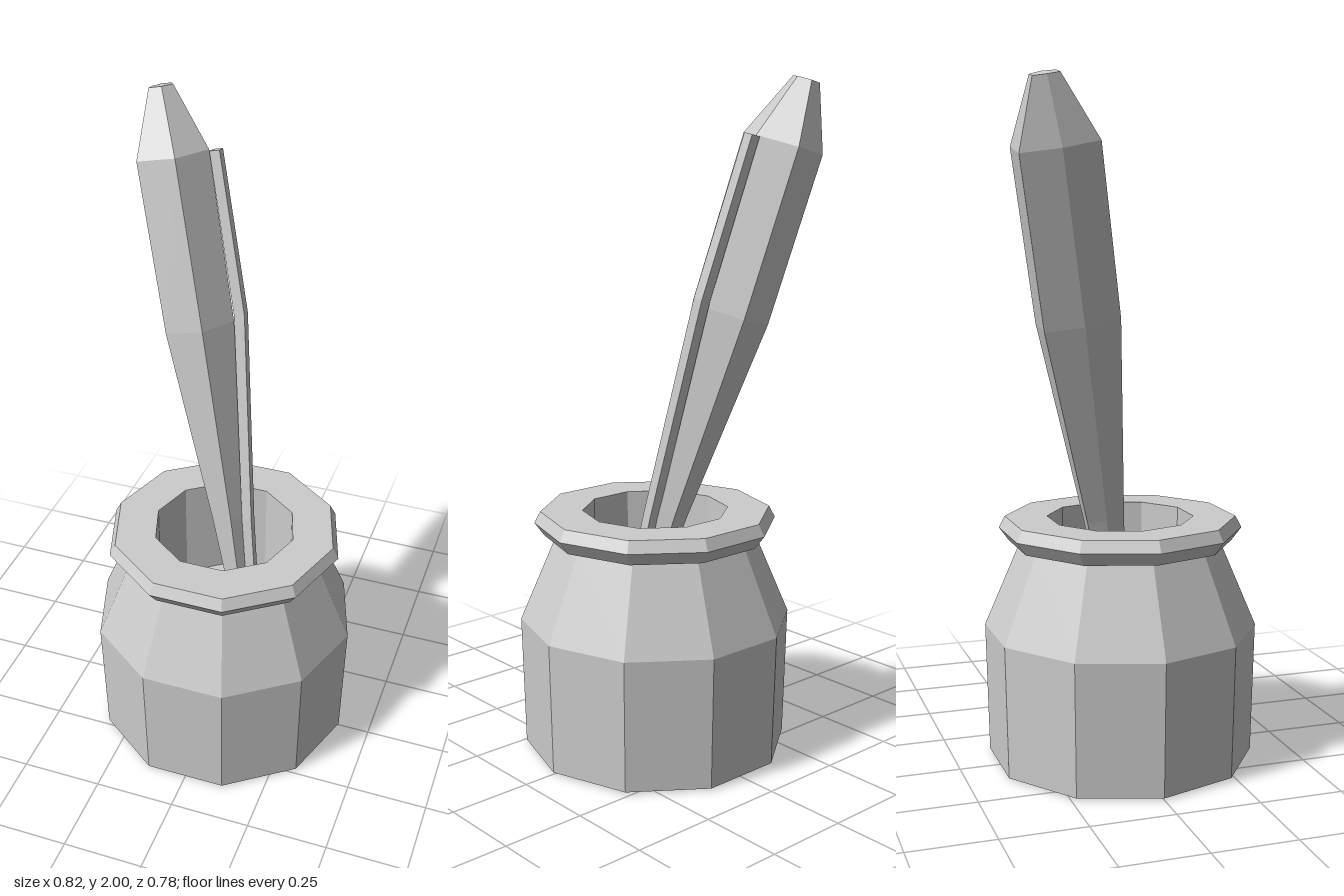
import * as THREE from 'three';

const material = new THREE.MeshStandardMaterial({ color: 0xcccccc, flatShading: true });

// Joins scaled copies of an outline along tilted rings [x, y, z, size], bottom to top, with end caps
function loft(name, outline, rings) {
  const n = outline.length;
  const pos = [];
  const index = [];
  for (const [x, y, z, s] of rings) {
    for (const [u, v] of outline) pos.push(x + u * s, y + (0.22 * u + 0.19 * v) * s, z + v * s);
  }
  for (let r = 0; r < rings.length - 1; r++) {
    for (let i = 0; i < n; i++) {
      const a = r * n + i, b = r * n + (i + 1) % n;
      index.push(a, b, b + n, a, b + n, a + n);
    }
  }
  const top = (rings.length - 1) * n;
  for (let i = 1; i < n - 1; i++) {
    index.push(top, top + i, top + i + 1);
    index.push(0, i + 1, i);
  }
  const geometry = new THREE.BufferGeometry();
  geometry.setAttribute('position', new THREE.Float32BufferAttribute(pos, 3));
  geometry.setIndex(index);
  const flat = geometry.toNonIndexed();
  flat.computeVertexNormals();
  const mesh = new THREE.Mesh(flat, material);
  mesh.name = name;
  return mesh;
}

export function createModel() {
  const group = new THREE.Group();
  group.name = 'inkwellWithQuill';

  // Ten-sided pot: base, belly, shoulder, flared rim, well and well floor
  const profile = [
    [0, 0.005], [0.4, 0.005], [0.41, 0.4], [0.3, 0.66], [0.335, 0.66],
    [0.365, 0.7], [0.347, 0.735], [0.22, 0.735], [0.22, 0.4], [0, 0.4],
  ].map(([r, y]) => new THREE.Vector2(r, y));
  const pot = new THREE.Mesh(new THREE.LatheGeometry(profile, 10, Math.PI / 10), material);
  pot.name = 'inkPot';
  group.add(pot);

  // Base pad just under the pot
  const pad = new THREE.Mesh(new THREE.CylinderGeometry(0.22, 0.22, 0.006, 10), material);
  pad.rotation.y = Math.PI / 10;
  pad.position.y = 0.003;
  pad.name = 'basePad';
  group.add(pad);

  // Leaning six-sided feather
  const quill = new THREE.Group();
  quill.name = 'quill';
  const vane = [[-0.6, 1], [0.45, 1], [1, 0], [0.5, -1], [-0.4, -1], [-0.7, 0]];
  quill.add(loft('featherVane', vane, [
    [0.065, 0.39, 0.008, 0.028],
    [-0.005, 0.74, -0.055, 0.055],
    [-0.14, 1.335, -0.172, 0.108],
    [-0.25, 1.815, -0.265, 0.11],
    [-0.297, 1.992, -0.305, 0.037],
  ]));

  // Thin square shaft along the side of the feather
  const square = [[-1, 1], [1, 1], [1, -1], [-1, -1]];
  quill.add(loft('quillShaft', square, [
    [0.104, 0.39, 0.01, 0.014],
    [0.06, 0.74, -0.048, 0.015],
    [-0.014, 1.38, -0.182, 0.016],
    [-0.12, 1.84, -0.268, 0.015],
  ]));
  group.add(quill);
  return group;
}
